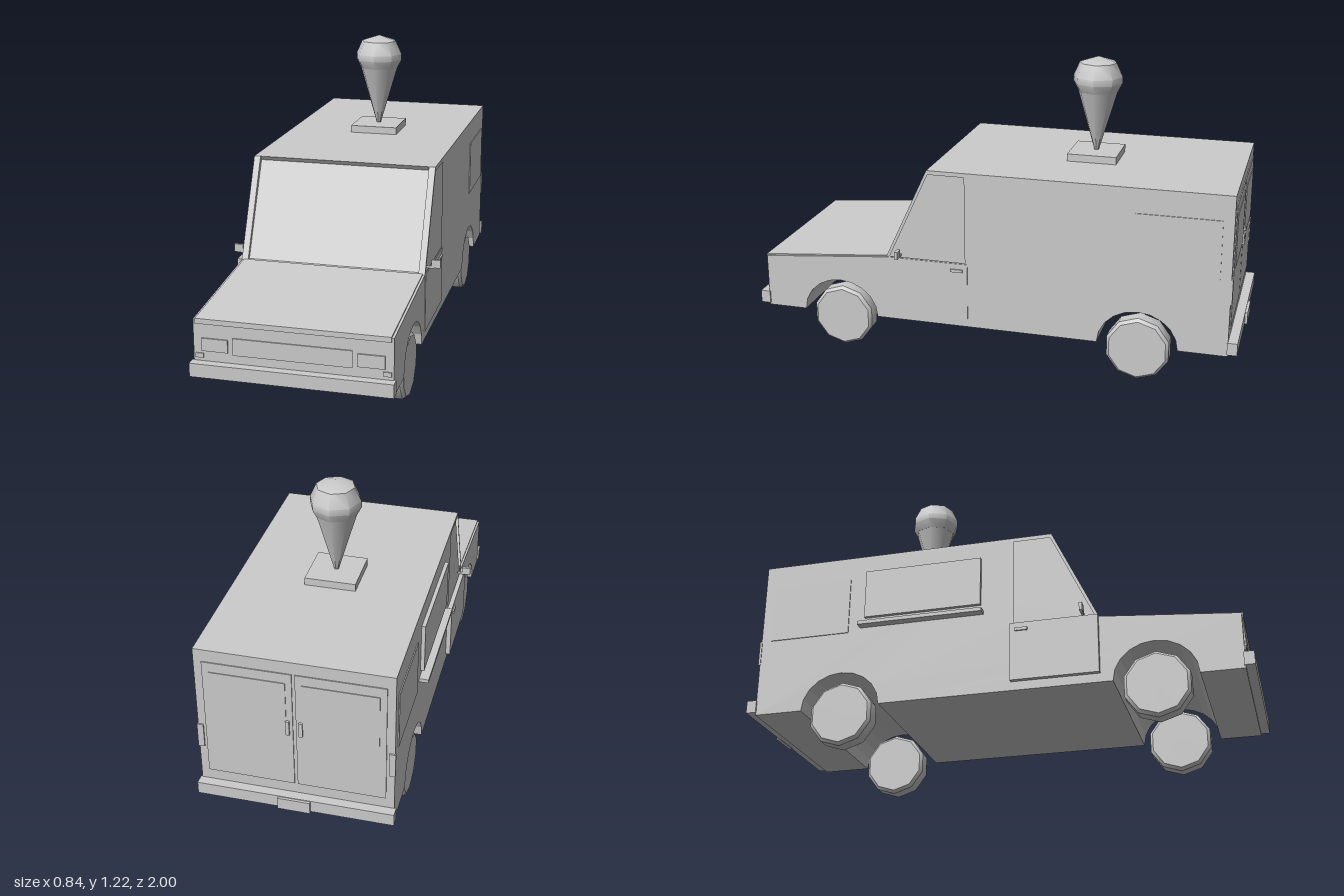
import * as THREE from 'three';
import { toCreasedNormals } from 'three/addons/utils/BufferGeometryUtils.js';

const bodyGrey = new THREE.MeshStandardMaterial({ color: 0xcccccc });
bodyGrey.name = 'bodyGrey';

export function createModel() {
  const model = new THREE.Group();
  model.name = 'iceCreamVan';

  const add = (name, geometry) => {
    const mesh = new THREE.Mesh(geometry, bodyGrey);
    mesh.name = name;
    model.add(mesh);
    return mesh;
  };
  // Box given by its limits on each axis
  const box = (name, x0, x1, y0, y1, z0, z1) =>
    add(name, new THREE.BoxGeometry(x1 - x0, y1 - y0, z1 - z0))
      .position.set((x0 + x1) / 2, (y0 + y1) / 2, (z0 + z1) / 2);
  // Side outline of [z, y] points, extruded across from x0 to x1
  const slab = (name, outline, x0, x1, hole) => {
    const points = (list) => list.map(([z, y]) => new THREE.Vector2(-z, y));
    const shape = new THREE.Shape(points(outline));
    if (hole) shape.holes.push(new THREE.Path(points(hole)));
    const geometry = new THREE.ExtrudeGeometry(shape, { depth: x1 - x0, bevelEnabled: false });
    add(name, geometry.rotateY(Math.PI / 2).translate(x0, 0, 0));
  };
  const lathe = (profile, sides, crease) =>
    toCreasedNormals(new THREE.LatheGeometry(profile.map(([r, y]) => new THREE.Vector2(r, y)), sides), crease);

  // Body outline with wheel arches, running from the back bottom to the front
  const axles = [-0.6, 0.64];
  const bottom = 0.155;
  const arch = (z) => {
    const points = [[z - 0.16, bottom]];
    for (let i = 1; i < 10; i++) {
      const a = Math.PI * (1 - i / 10);
      points.push([z + 0.16 * Math.cos(a), bottom + 0.145 * Math.sin(a)]);
    }
    points.push([z + 0.16, bottom]);
    return points;
  };
  const outline = (glass) => [
    [-0.953, bottom], ...axles.flatMap(arch), [0.965, bottom], [0.965, 0.375],
    [0.435, 0.423], ...glass, [-0.953, 0.805],
  ];
  const full = outline([[0.255, 0.805]]);
  const recessed = outline([[0.418, 0.425], [0.243, 0.788], [0.255, 0.805]]);
  const sideWindow = [[0.1, 0.43], [0.418, 0.43], [0.25, 0.788], [0.1, 0.788]];

  slab('bodyCore', recessed, -0.345, 0.345);
  for (const s of [-1, 1]) {
    const side = (name, o, a, b, hole) => slab(name, o, Math.min(s * a, s * b), Math.max(s * a, s * b), hole);
    const sideBox = (name, a, b, ...rest) => box(name, Math.min(s * a, s * b), Math.max(s * a, s * b), ...rest);

    side('windowPillar', full, 0.345, 0.36);
    side('sidePanel', full, 0.36, 0.371, sideWindow);
    sideBox('cabDoor', 0.37, s < 0 ? 0.39 : 0.374, 0.19, 0.425, 0.09, 0.433);
    sideBox('doorHandle', 0.37, s < 0 ? 0.396 : 0.38, 0.39, 0.402, 0.11, 0.16);
    sideBox('rearSidePanel', 0.37, 0.375, 0.47, 0.705, -0.91, -0.58);

    // Mirror
    sideBox('mirrorArm', 0.365, 0.395, 0.432, 0.442, 0.37, 0.378);
    sideBox('mirror', 0.385, 0.421, 0.435, 0.467, 0.368, 0.38);

    // Front lights
    sideBox('headlight', 0.24, 0.34, 0.257, 0.306, 0.96, 0.971);
    sideBox('turnSignal', 0.333, 0.363, 0.23, 0.247, 0.96, 0.97);

    // Rear door with window, handle and tail light
    sideBox('rearDoor', 0.006, 0.34, 0.26, 0.755, -0.957, -0.95);
    sideBox('rearWindow', 0.03, 0.315, 0.5, 0.715, -0.96, -0.955);
    sideBox('rearHandle', 0.018, 0.032, 0.49, 0.55, -0.966, -0.955);
    sideBox('tailLight', 0.35, 0.374, 0.37, 0.47, -0.959, -0.95);

    // Wheels
    for (const z of axles) {
      const tyre = lathe([[0, -0.04], [0.118, -0.04], [0.13, -0.028], [0.13, 0.028], [0.118, 0.04], [0, 0.04]], 10, 0.7);
      add('wheel', tyre.rotateY(Math.PI / 2).rotateZ(Math.PI / 2)).position.set(s * 0.32, 0.135, z);
    }
  }

  // Hood lid with a shallow front lip
  slab('hood', [[0.97, 0.36], [0.97, 0.38], [0.435, 0.427], [0.435, 0.405]], -0.362, 0.362);

  // Front
  box('grille', -0.222, 0.222, 0.25, 0.315, 0.96, 0.97);
  box('frontBumper', -0.378, 0.378, 0.165, 0.217, 0.96, 1.0);

  // Rear
  box('rearBumper', -0.378, 0.378, 0.165, 0.215, -0.99, -0.95);
  box('numberPlate', -0.062, 0.062, 0.163, 0.212, -1.0, -0.985);

  // Serving hatch and counter
  box('servingHatch', -0.386, -0.37, 0.525, 0.728, -0.51, -0.03);
  box('servingCounter', -0.408, -0.37, 0.485, 0.5, -0.53, -0.02);

  // Rooftop cone
  box('coneBase', -0.1, 0.1, 0.8, 0.835, -0.45, -0.25);
  add('cone', lathe([[0, 0.83], [0.008, 0.83], [0.082, 1.082], [0, 1.082]], 8, 0.8)).position.z = -0.35;
  add('scoop', lathe([[0, 1.08], [0.082, 1.08], [0.1, 1.115], [0.1, 1.14], [0.075, 1.195], [0, 1.22]], 8, 0.8)).position.z = -0.35;

  return model;
}
